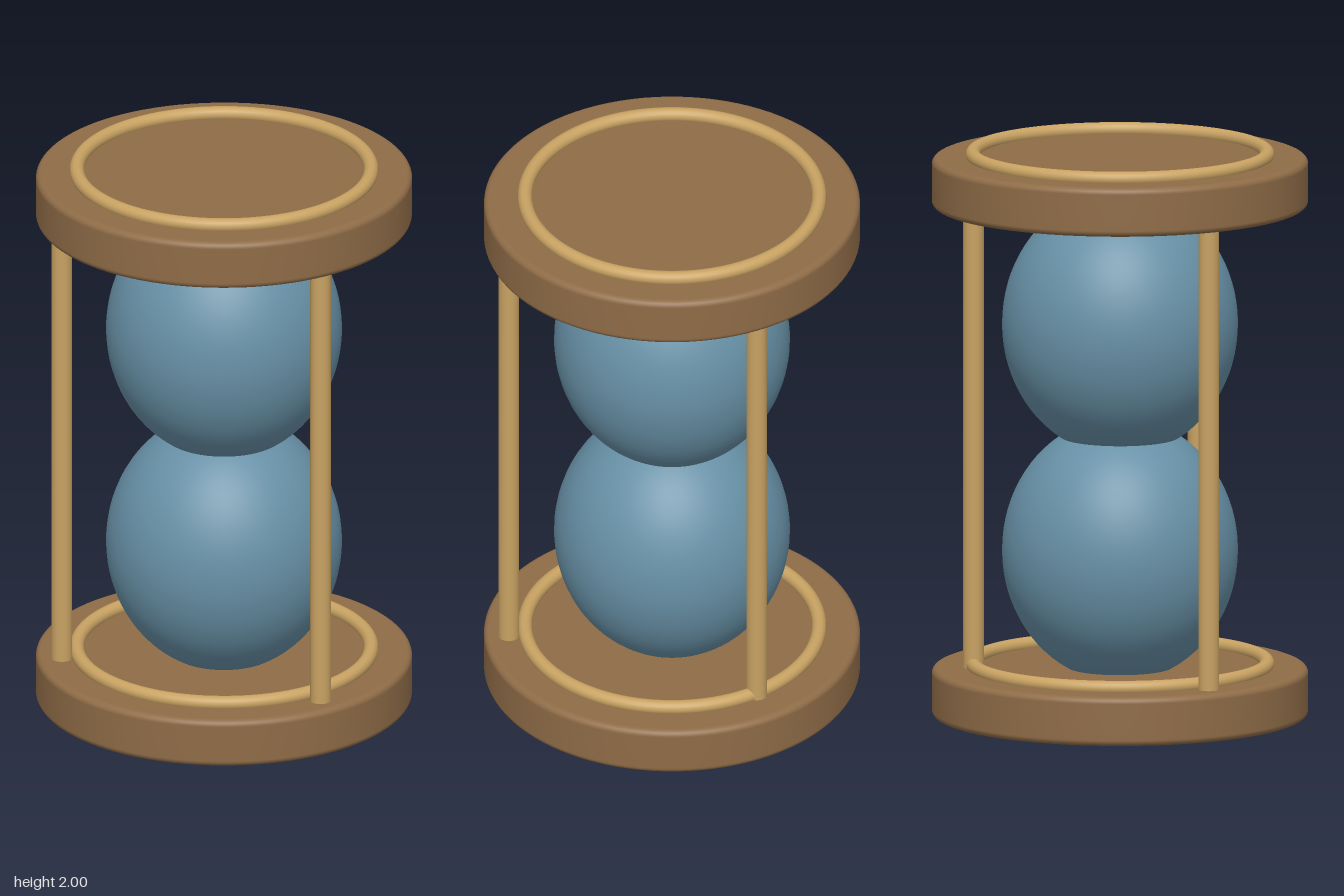
import * as THREE from 'three';

export function createModel() {
  const model = new THREE.Group();
  model.name = 'hourglass';

  const material = (name, color) => {
    const m = new THREE.MeshStandardMaterial({ color });
    m.name = name;
    return m;
  };
  const wood = material('brown wood', 0x8f6c47);
  const brass = material('pale brass', 0xc8a262);
  const glass = material('blue glass', 0x6790a6);

  const add = (name, geometry, mat, x, y, z) => {
    const mesh = new THREE.Mesh(geometry, mat);
    mesh.name = name;
    mesh.position.set(x, y, z);
    model.add(mesh);
    return mesh;
  };

  // Round plate profile with softly rounded rims; flat faces are separate discs
  const R = 0.652, H = 0.172, B = 0.022;
  const rim = [];
  for (let i = 0; i <= 6; i++) {
    const a = -Math.PI / 2 + (i / 6) * (Math.PI / 2);
    rim.push(new THREE.Vector2(R - B + B * Math.cos(a), B + B * Math.sin(a)));
  }
  for (let i = 0; i <= 6; i++) {
    const a = (i / 6) * (Math.PI / 2);
    rim.push(new THREE.Vector2(R - B + B * Math.cos(a), H - B + B * Math.sin(a)));
  }
  const rimGeometry = new THREE.LatheGeometry(rim, 96);
  const faceGeometry = new THREE.CircleGeometry(R - B, 96);
  const ringGeometry = new THREE.TorusGeometry(0.51, 0.025, 20, 96);

  // Bottom and top plates, each with an inlaid ring on its upper face
  for (const [label, y] of [['bottom', 0.002], ['top', 1.792]]) {
    add(label + 'PlateRim', rimGeometry, wood, 0, y, 0);
    add(label + 'PlateUpperFace', faceGeometry, wood, 0, y + H, 0).rotation.x = -Math.PI / 2;
    add(label + 'PlateLowerFace', faceGeometry, wood, 0, y, 0).rotation.x = Math.PI / 2;
    add(label + 'Ring', ringGeometry, brass, 0, y + H + 0.011, 0).rotation.x = Math.PI / 2;
  }

  // Two overlapping glass bulbs, slightly taller than wide
  const bulbGeometry = new THREE.SphereGeometry(0.409, 64, 40).scale(1, 0.46 / 0.409, 1);
  add('lowerBulb', bulbGeometry, glass, 0, 0.585, 0);
  add('upperBulb', bulbGeometry, glass, 0, 1.38, 0);

  // Three posts: two towards the front, one at the back
  const postGeometry = new THREE.CylinderGeometry(0.036, 0.036, 1.68, 32);
  add('leftPost', postGeometry, brass, 0.488, 0.985, 0.289);
  add('rightPost', postGeometry, brass, -0.488, 0.985, 0.289);
  add('backPost', postGeometry, brass, 0, 0.985, -0.508);

  return model;
}
